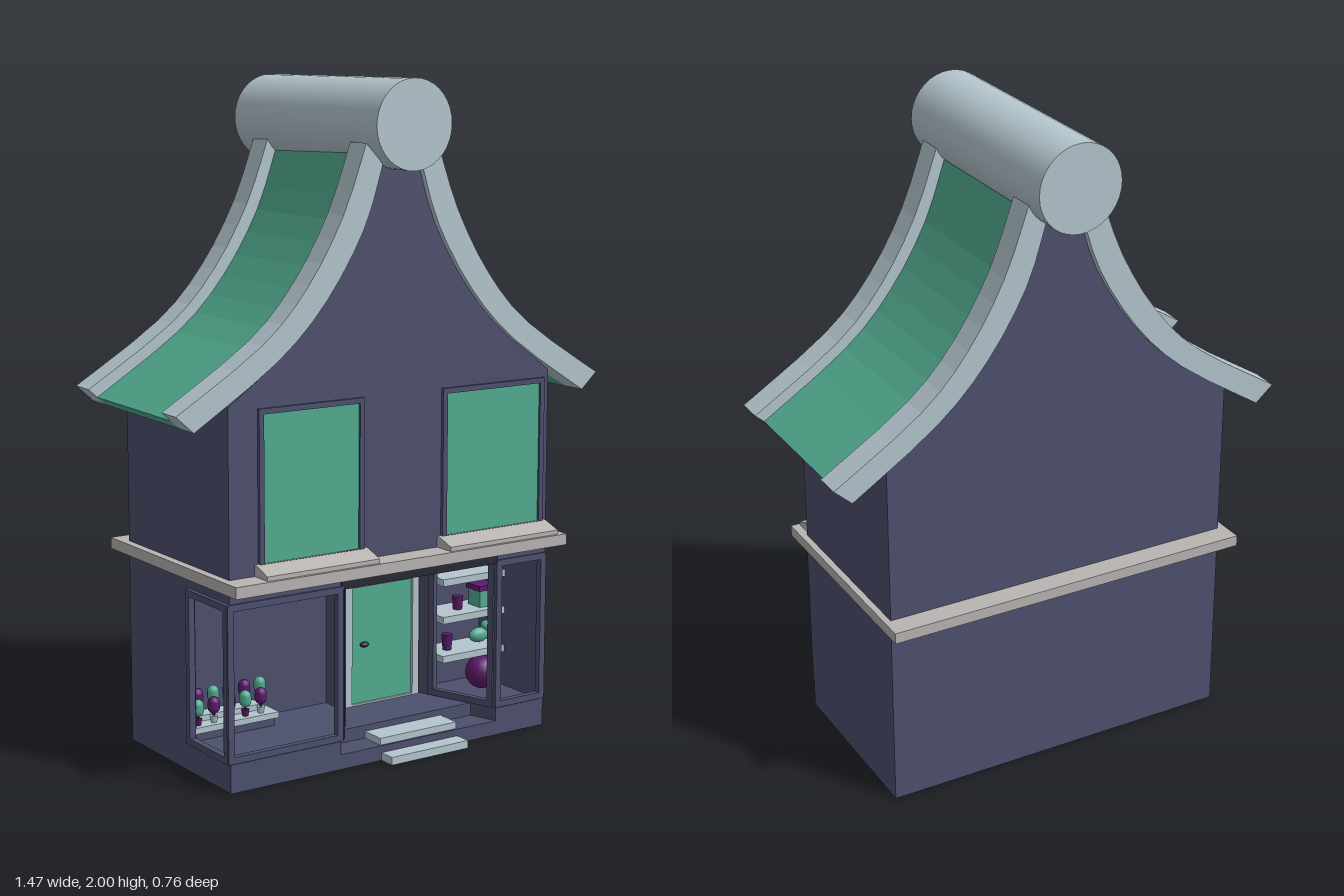
import * as THREE from 'three';

const mat = (color) => new THREE.MeshStandardMaterial({ color });
const WALL = mat(0x4d506e), GREEN = mat(0x52ab90), TRIM = mat(0xb4c6ce);
const STONE = mat(0xb8b4b2), PURPLE = mat(0x5c1a6b), DARK = mat(0x272834);
const X0 = -0.575, X1 = 0.555, Z0 = -0.275, Z1 = 0.307;

function add(parent, name, geo, material) {
  const mesh = new THREE.Mesh(geo, material);
  mesh.name = name;
  parent.add(mesh);
  return mesh;
}

// Box given by its limits on each axis
function box(parent, name, material, x0, x1, y0, y1, z0, z1) {
  const mesh = add(parent, name, new THREE.BoxGeometry(x1 - x0, y1 - y0, z1 - z0), material);
  mesh.position.set((x0 + x1) / 2, (y0 + y1) / 2, (z0 + z1) / 2);
  return mesh;
}

const extrude = (shape, depth) => new THREE.ExtrudeGeometry(shape, { depth, bevelEnabled: false });
const polygon = (pts) => new THREE.Shape(pts.map(([x, y]) => new THREE.Vector2(x, y)));

// Floor plan in x, z raised from y0 to y1
function plan(parent, name, material, pts, y0, y1) {
  const geo = extrude(polygon(pts.map(([x, z]) => [x, -z])), y1 - y0);
  geo.rotateX(-Math.PI / 2).translate(0, y0, 0);
  return add(parent, name, geo, material);
}

// Rectangular frame standing between two points of the plan
function frame(parent, name, material, a, b, y0, y1, t = 0.018, d = 0.018) {
  const w = Math.hypot(b[0] - a[0], b[1] - a[1]), h = y1 - y0;
  const shape = polygon([[0, 0], [w, 0], [w, h], [0, h]]);
  shape.holes.push(new THREE.Path([[t, t], [t, h - t], [w - t, h - t], [w - t, t]].map((p) => new THREE.Vector2(...p))));
  const mesh = add(parent, name, extrude(shape, d).translate(0, 0, -d / 2), material);
  mesh.position.set(a[0], y0, a[1]);
  mesh.rotation.y = Math.atan2(a[1] - b[1], b[0] - a[0]);
  return mesh;
}

// Swept roof section: underside and top side
const sample = (pts) => new THREE.SplineCurve(pts.map((p) => new THREE.Vector2(...p))).getPoints(12);
const inner = sample([[0.065, 1.76], [0.127, 1.58], [0.25, 1.385], [0.41, 1.225], [0.675, 1.05]]);
const outer = sample([[0.12, 1.82], [0.196, 1.62], [0.31, 1.43], [0.458, 1.275], [0.73, 1.10]]);
const middle = inner.map((p, i) => p.clone().lerp(outer[i], 0.5));

function roofSide(name) {
  const side = new THREE.Group();
  side.name = name;
  const strip = (part, top, z0, z1, m) => add(side, part,
    extrude(new THREE.Shape([...inner, ...[...top].reverse()]), z1 - z0).translate(0, 0, z0), m);
  strip('roofPanel', middle, -0.23, 0.245, GREEN);
  strip('frontBargeboard', outer, 0.24, 0.325, TRIM);
  strip('backBargeboard', outer, -0.305, -0.22, TRIM);
  return side;
}

function buildRoof(root) {
  root.add(roofSide('rightRoof'));
  // The other side is the same roof turned about, set slightly askew
  const left = roofSide('leftRoof');
  left.rotation.y = Math.PI - 0.034;
  left.position.z = 0.029;
  root.add(left);
  const ridge = add(root, 'ridgeRoll', new THREE.CylinderGeometry(0.13, 0.13, 0.76, 36), TRIM);
  ridge.rotation.x = Math.PI / 2;
  ridge.position.y = 1.87;
}

function buildUpperFloor(root) {
  const slope = inner.filter((p) => p.x < 0.54).map((p) => [p.x, p.y]);
  const gable = polygon([[X0, 0.58], [X1, 0.58], [X1, 1.12], ...[...slope].reverse(),
    ...slope.map(([x, y]) => [-x, y]), [X0, 1.11]]);
  add(root, 'gableWalls', extrude(gable, Z1 - Z0).translate(0, 0, Z0), WALL);
  box(root, 'stoneBand', STONE, -0.6, 0.575, 0.588, 0.622, -0.345, 0.385);
  for (const [x0, x1] of [[-0.48, -0.125], [0.155, 0.535]]) {
    frame(root, 'windowFrame', WALL, [x0, Z1], [x1, Z1], 0.64, 1.098, 0.016, 0.02);
    box(root, 'windowPane', GREEN, x0 + 0.01, x1 - 0.01, 0.65, 1.085, 0.29, 0.31);
    // Sloping sill
    const sill = extrude(polygon([[-0.3, 0.622], [-0.3, 0.656], [-0.315, 0.656], [-0.375, 0.635], [-0.375, 0.622]]), x1 - x0 + 0.025);
    sill.rotateY(Math.PI / 2).translate(x0 - 0.012, 0, 0);
    add(root, 'windowSill', sill, STONE);
  }
}

function buildGroundFloor(root) {
  box(root, 'plinth', WALL, X0, X1, 0, 0.045, Z0, Z1);
  plan(root, 'shopFloor', WALL, [[X0, Z0], [X1, Z0], [X1, Z1], [0.37, Z1], [0.34, 0.22],
    [-0.14, 0.22], [-0.2, Z1], [X0, Z1]], 0.045, 0.085);
  plan(root, 'shopWalls', WALL, [[X0, Z0], [X1, Z0], [X1, Z1], [0.54, Z1], [0.54, 0], [0.3, 0],
    [0.3, 0.08], [0.285, 0.08], [0.265, 0.03], [-0.01, 0.03], [-0.095, 0.165], [-0.11, 0.155],
    [-0.03, 0.02], [-0.03, -0.03], [-0.555, -0.03], [-0.555, 0.08], [X0, 0.08]], 0.085, 0.55);
  box(root, 'shopCeiling', WALL, X0, X1, 0.55, 0.59, Z0, Z1);
  box(root, 'entranceLintel', DARK, -0.2, 0.37, 0.542, 0.577, 0.28, 0.311);

  // Shop window frames
  const panes = [[[-0.585, 0.303], [-0.195, 0.303]], [[-0.195, 0.3], [-0.095, 0.16]], [[-0.578, 0.08], [-0.578, 0.31]],
    [[0.365, 0.303], [0.555, 0.303]], [[0.285, 0.08], [0.368, 0.3]]];
  for (const [a, b] of panes) frame(root, 'shopWindowFrame', WALL, a, b, 0.088, 0.552, 0.02, 0.02);

  // Door and steps
  frame(root, 'doorFrame', TRIM, [-0.01, 0.035], [0.265, 0.035], 0.066, 0.482, 0.024, 0.03);
  box(root, 'door', GREEN, 0.01, 0.24, 0.085, 0.462, 0.02, 0.042);
  const knob = add(root, 'doorKnob', new THREE.SphereGeometry(0.014, 12, 8), DARK);
  knob.scale.set(1.1, 0.6, 0.8);
  knob.position.set(0.06, 0.275, 0.048);
  box(root, 'upperStep', TRIM, -0.055, 0.225, 0.045, 0.066, 0.2, 0.3);
  box(root, 'lowerStep', TRIM, -0.055, 0.225, 0, 0.024, 0.28, 0.36);
}

function buildDisplays(root) {
  // Planter with two rows of small potted trees
  box(root, 'planterFront', TRIM, -0.56, -0.27, 0.11, 0.128, 0.0, 0.08);
  box(root, 'planterBack', TRIM, -0.545, -0.3, 0.128, 0.145, -0.02, 0.03);
  box(root, 'planterFoot', WALL, -0.55, -0.28, 0.085, 0.11, -0.02, 0.07);
  for (let i = 0; i < 10; i++) {
    const back = i % 2, plant = new THREE.Group();
    plant.name = 'pottedTree';
    const pot = add(plant, 'pot', new THREE.CylinderGeometry(0.013, 0.009, 0.02, 10), i % 3 ? TRIM : PURPLE);
    pot.position.y = 0.01;
    const stem = add(plant, 'stem', new THREE.CylinderGeometry(0.004, 0.004, 0.03, 6), DARK);
    stem.position.y = 0.03;
    const crown = add(plant, 'crown', new THREE.CapsuleGeometry(0.018, 0.016, 4, 10), i % 3 ? PURPLE : GREEN);
    crown.position.y = 0.052;
    plant.position.set(-0.535 + i * 0.027, back ? 0.145 : 0.128, back ? 0.005 : 0.055);
    root.add(plant);
  }
  // Shelves with wares
  for (const y of [0.195, 0.32, 0.44]) box(root, 'shelf', TRIM, 0.3, 0.54, y, y + 0.022, 0, 0.13);
  const ball = add(root, 'ball', new THREE.SphereGeometry(0.052, 20, 14), PURPLE);
  ball.position.set(0.46, 0.14, 0.12);
  box(root, 'giftBox', GREEN, 0.465, 0.525, 0.342, 0.395, 0.04, 0.1);
  box(root, 'giftBoxLid', PURPLE, 0.46, 0.53, 0.395, 0.412, 0.035, 0.105);
  // Toy bird
  for (const [x, y, rx, ry] of [[0.485, 0.245, 0.037, 0.024], [0.515, 0.27, 0.019, 0.018]]) {
    const part = add(root, 'toyBird', new THREE.SphereGeometry(1, 14, 10), GREEN);
    part.scale.set(rx, ry, 0.02);
    part.position.set(x, y, 0.07);
  }
  for (const [x, y] of [[0.36, 0.25], [0.4, 0.367]]) {
    const vase = add(root, 'vase', new THREE.CylinderGeometry(0.018, 0.014, 0.05, 12), PURPLE);
    vase.position.set(x, y - 0.008, 0.07);
  }
}

export function createModel() {
  const root = new THREE.Group();
  root.name = 'shopHouse';
  buildRoof(root);
  buildUpperFloor(root);
  buildGroundFloor(root);
  buildDisplays(root);
  return root;
}
